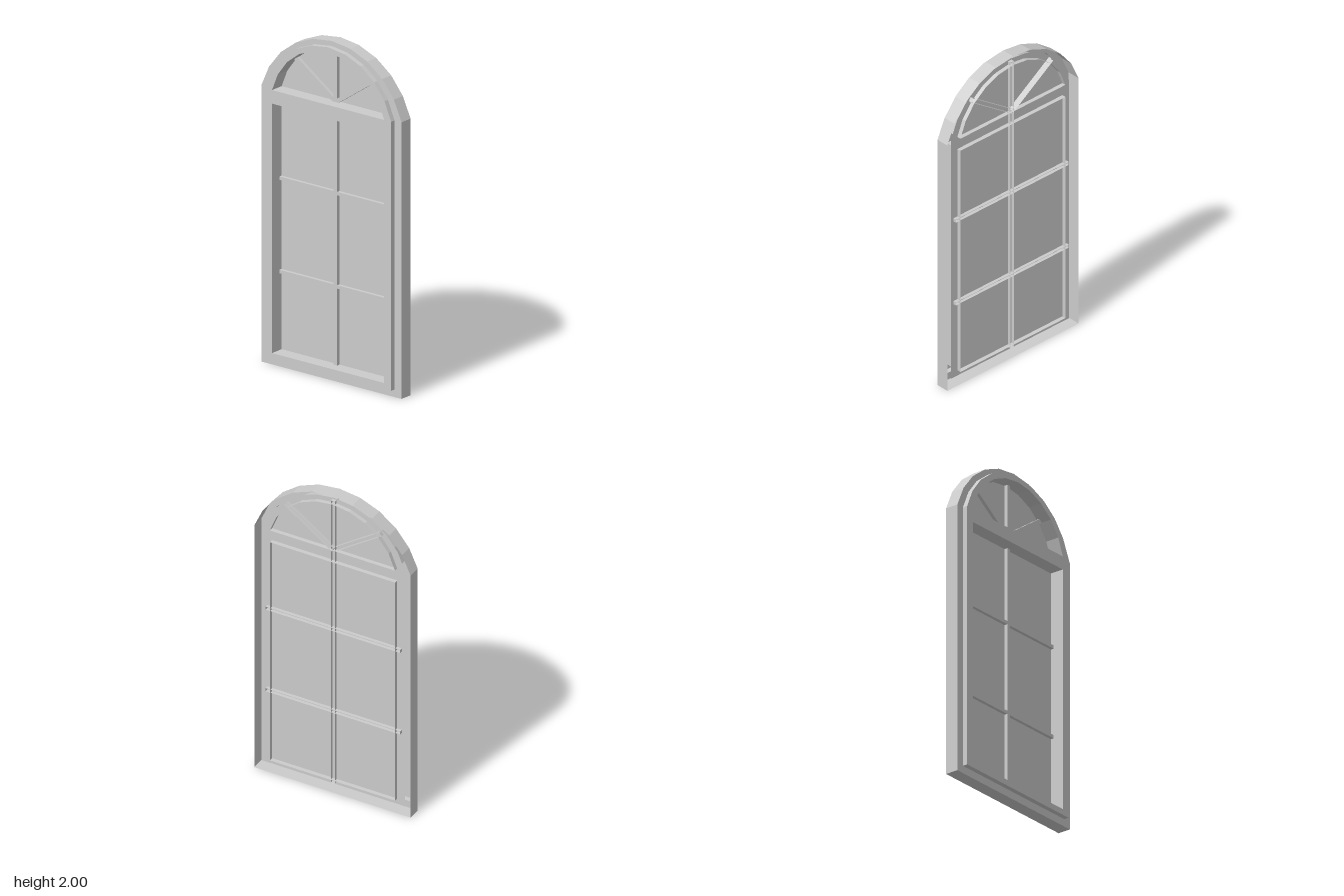
import * as THREE from 'three';

const material = new THREE.MeshStandardMaterial({ color: 0xcccccc, flatShading: true, side: THREE.DoubleSide });
const SPRING = 1.63; // height where the arch begins
const SEGMENTS = 10;

// Points of a shallow circular arc from +half over the top to -half
function arcPoints(half, top) {
  const rise = top - SPRING;
  const radius = (half * half + rise * rise) / (2 * rise);
  const limit = Math.asin(half / radius);
  const points = [];
  for (let i = 0; i <= SEGMENTS; i++) {
    const a = limit * (1 - (2 * i) / SEGMENTS);
    points.push(new THREE.Vector2(radius * Math.sin(a), top - radius + radius * Math.cos(a)));
  }
  return points;
}

// Arched outline with straight sides down to the bottom
function archOutline(half, bottom, top) {
  return [new THREE.Vector2(-half, bottom), new THREE.Vector2(half, bottom), ...arcPoints(half, top)];
}

// Rectangle of a given length along its angle
function barOutline(x, y, length, width, angle) {
  const centre = new THREE.Vector2();
  return [[-1, -1], [1, -1], [1, 1], [-1, 1]].map(([u, v]) =>
    new THREE.Vector2((u * length) / 2, (v * width) / 2).rotateAround(centre, angle).add(new THREE.Vector2(x, y)));
}

function createPart(name, geometry) {
  const mesh = new THREE.Mesh(geometry, material);
  mesh.name = name;
  return mesh;
}

// Flat face with optional holes
function createFace(name, outline, holes, z) {
  const shape = new THREE.Shape(outline);
  shape.holes = holes.map((points) => new THREE.Path(points));
  return createPart(name, new THREE.ShapeGeometry(shape).translate(0, 0, z));
}

// Thin wall following a closed outline from back to front
function createWall(name, outline, back, front) {
  const positions = [];
  outline.forEach((p, i) => {
    const q = outline[(i + 1) % outline.length];
    positions.push(p.x, p.y, back, q.x, q.y, back, q.x, q.y, front);
    positions.push(p.x, p.y, back, q.x, q.y, front, p.x, p.y, front);
  });
  const geometry = new THREE.BufferGeometry();
  geometry.setAttribute('position', new THREE.Float32BufferAttribute(positions, 3));
  geometry.computeVertexNormals();
  return createPart(name, geometry);
}

// Open-backed glazing bar
function createBar(name, ...size) {
  const outline = barOutline(...size);
  const bar = new THREE.Group();
  bar.name = name;
  bar.add(createFace(name + 'Front', outline, [], -0.01), createWall(name + 'Sides', outline, -0.05, -0.01));
  return bar;
}

export function createModel() {
  const model = new THREE.Group();
  model.name = 'archedWindow';

  const outer = archOutline(0.5, 0, 2);
  const inner = archOutline(0.45, 0.045, 1.97);
  const lowerOpening = barOutline(0, 0.815, 0.8, 1.47, 0);
  const archOpening = arcPoints(0.4, 1.94);

  // Outer casing, open at the back
  model.add(createFace('casingFront', outer, [inner], 0.025));
  model.add(createWall('casingSides', outer, -0.055, 0.025));

  // Raised sash with a rectangular and an arched opening
  model.add(createFace('sashFront', inner, [lowerOpening, archOpening], 0.055));
  model.add(createWall('sashSides', inner, 0.025, 0.055));
  model.add(createWall('lowerReveal', lowerOpening, -0.055, 0.055));
  model.add(createWall('archReveal', archOpening, -0.055, 0.055));

  // Glass sheet set back in the sash
  model.add(createFace('glass', inner, [], -0.03));

  // Glazing bars
  model.add(createBar('uprightBar', 0, 1.01, 1.9, 0.025, Math.PI / 2));
  for (const y of [0.543, 1.093]) model.add(createBar('crossBar', 0, y, 0.86, 0.02, 0));
  for (const side of [-1, 1]) {
    const angle = Math.PI / 2 - side * 0.97;
    const reach = 0.37;
    model.add(createBar('fanBar', (Math.cos(angle) * reach) / 2, SPRING + (Math.sin(angle) * reach) / 2, reach, 0.025, angle));
  }
  return model;
}
